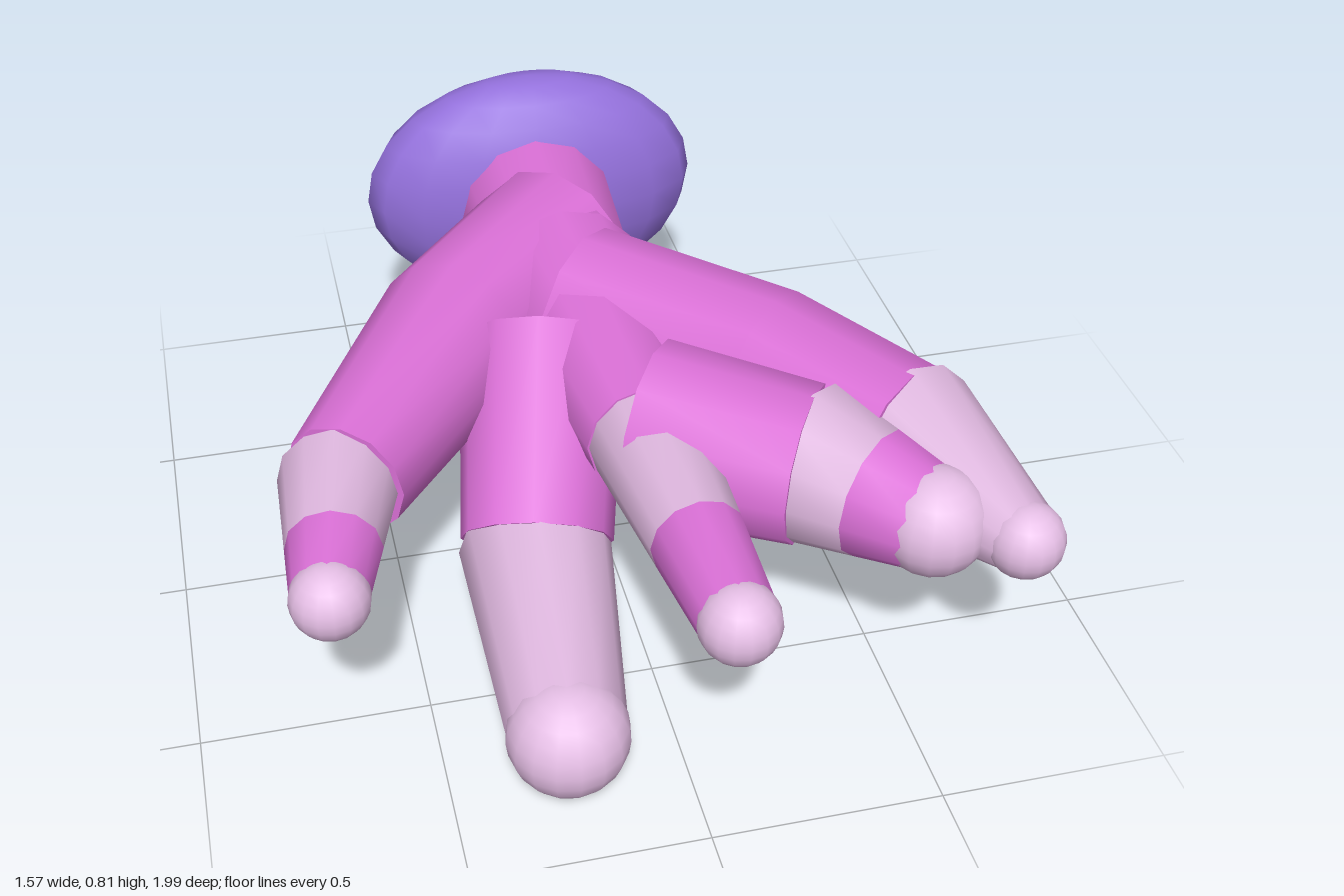
import * as THREE from 'three';

const PINK = 0xda70d6, PALE = 0xddb6dd, TIP = 0xe6bfe6, PURPLE = 0x9370db;
const SIDES = 12;

function mesh(name, geometry, color) {
  const m = new THREE.Mesh(geometry, new THREE.MeshStandardMaterial({ color }));
  m.name = name;
  return m;
}

// Tapered tube through [x, y, z, radius] stations, mitred at bends, with flat end caps
function limbGeometry(stations) {
  const pts = stations.map(([x, y, z]) => new THREE.Vector3(x, y, z));
  const dirs = pts.slice(1).map((p, i) => p.clone().sub(pts[i]).normalize());
  const last = pts.length - 1;
  const pos = [], index = [];
  const rings = pts.map((p, i) => {
    const before = dirs[Math.max(i - 1, 0)], after = dirs[Math.min(i, last - 1)];
    const d = before.clone().add(after).normalize();
    const side = new THREE.Vector3(0, 1, 0).cross(d).normalize();
    const up = d.clone().cross(side);
    return Array.from({ length: SIDES }, (_, j) => {
      const a = (j / SIDES) * Math.PI * 2, r = stations[i][3];
      return p.clone().addScaledVector(side, Math.cos(a) * r).addScaledVector(up, Math.sin(a) * r);
    });
  });
  const add = (v) => pos.push(v.x, v.y, v.z) / 3 - 1;
  rings.forEach((ring) => ring.forEach(add));
  for (let i = 0; i < last; i++) {
    for (let j = 0; j < SIDES; j++) {
      const k = (j + 1) % SIDES;
      const a = i * SIDES + j, b = i * SIDES + k, c = a + SIDES, d = b + SIDES;
      index.push(a, b, d, a, d, c);
    }
  }
  // caps use their own vertices so the rims stay sharp
  for (const i of [0, last]) {
    const centre = add(pts[i]);
    const rim = rings[i].map(add);
    rim.forEach((v, j) => {
      const w = rim[(j + 1) % SIDES];
      if (i === 0) index.push(centre, w, v);
      else index.push(centre, v, w);
    });
  }
  const g = new THREE.BufferGeometry();
  g.setAttribute('position', new THREE.Float32BufferAttribute(pos, 3));
  g.setIndex(index);
  g.computeVertexNormals();
  return g;
}

function ball(name, [x, y, z], radii, color) {
  const m = mesh(name, new THREE.SphereGeometry(1, 16, 12), color);
  m.scale.set(...radii);
  m.position.set(x, y, z);
  return m;
}

// A pink arm, a pale tapering finger, an optional pink band and a round tip
function branch({ name, arm, from, to, band }) {
  const g = new THREE.Group();
  g.name = name;
  g.add(mesh(name + 'Arm', limbGeometry(arm), PINK));
  if (band === undefined) {
    g.add(mesh(name + 'Finger', limbGeometry([from, to]), PALE));
  } else {
    const mid = from.map((v, i) => v + (to[i] - v) * band);
    g.add(mesh(name + 'Finger', limbGeometry([from, mid]), PALE));
    g.add(mesh(name + 'Band', limbGeometry([mid, to]), PINK));
  }
  const r = to[3] * 1.04;
  g.add(ball(name + 'Tip', to, [r, r, r], TIP));
  return g;
}

const BRANCHES = [
  {
    name: 'rightBranch', band: 0.6,
    arm: [[0, 0.5, -0.5, 0.21], [-0.31, 0.5, -0.18, 0.19], [-0.625, 0.5, 0.3, 0.137]],
    from: [-0.635, 0.5, 0.29, 0.132], to: [-0.7, 0.5, 0.66, 0.08],
  },
  {
    name: 'leftBranch',
    arm: [[0, 0.5, -0.19, 0.213], [0.36, 0.5, 0.14, 0.2], [0.57, 0.5, 0.45, 0.183]],
    from: [0.57, 0.5, 0.43, 0.187], to: [0.7, 0.5, 0.8, 0.08],
  },
  {
    name: 'middleBranch', band: 0.59,
    arm: [[-0.02, 0.5, -0.34, 0.2], [0.01, 0.5, -0.02, 0.165], [0.03, 0.5, 0.3, 0.133]],
    from: [0.03, 0.5, 0.29, 0.13], to: [0.065, 0.5, 0.905, 0.083],
  },
  {
    name: 'lowerBranch',
    arm: [[-0.12, 0.51, -0.09, 0.19], [-0.21, 0.23, 0.27, 0.172]],
    from: [-0.215, 0.215, 0.27, 0.172], to: [-0.25, 0.133, 0.775, 0.127],
  },
  {
    name: 'curledBranch', band: 0.55,
    arm: [[0.05, 0.5, 0.27, 0.2], [0.345, 0.5, 0.47, 0.178]],
    from: [0.345, 0.5, 0.46, 0.18], to: [0.54, 0.5, 0.7, 0.115],
  },
];

export function createModel() {
  const model = new THREE.Group();
  model.name = 'branchingCoral';

  // Flattened base and the short trunk growing out of it
  model.add(ball('base', [0, 0.5, -0.82], [0.425, 0.312, 0.178], PURPLE));
  model.add(mesh('trunk', limbGeometry([[-0.01, 0.5, -0.8, 0.205], [-0.01, 0.5, -0.32, 0.175]]), PINK));

  for (const spec of BRANCHES) model.add(branch(spec));
  return model;
}
